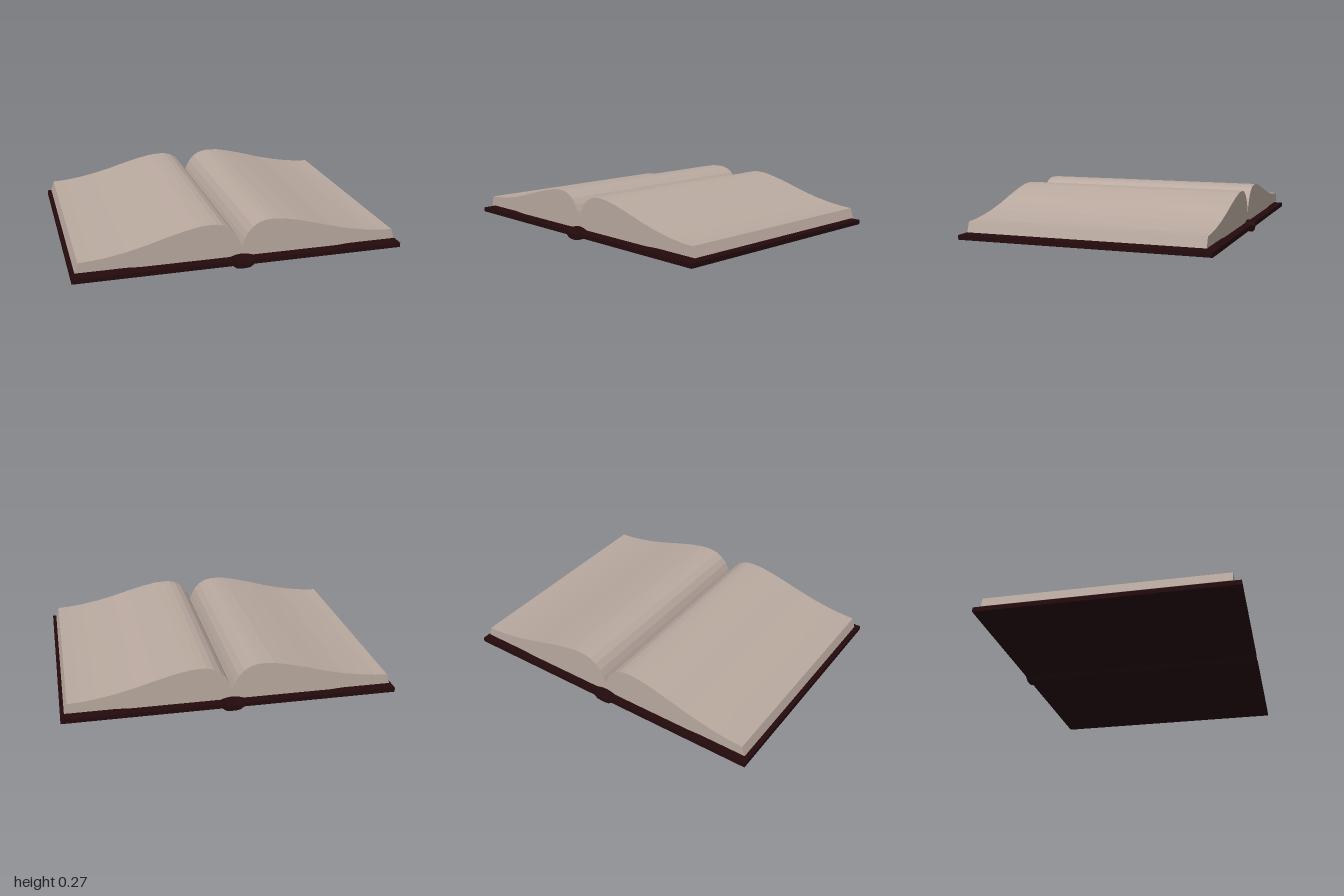
import * as THREE from 'three';

const paper = new THREE.MeshStandardMaterial({ color: 0xb9a99f });
paper.name = 'paper';
const leather = new THREE.MeshStandardMaterial({ color: 0x240b0d });
leather.name = 'dark leather';

// Extrudes an x/y outline along z between two depths.
function extrudeOutline(points, zBack, zFront, material, name) {
  const shape = new THREE.Shape(points.map(([x, y]) => new THREE.Vector2(x, y)));
  const geometry = new THREE.ExtrudeGeometry(shape, { depth: zFront - zBack, bevelEnabled: false });
  geometry.translate(0, 0, zBack);
  const mesh = new THREE.Mesh(geometry, material);
  mesh.name = name;
  return mesh;
}

const mirrorX = (points) => points.map(([x, y]) => [-x, y]);

export function createModel() {
  const book = new THREE.Group();
  book.name = 'openBook';

  // Cover: two flat boards joined by a sunken spine
  const coverTop = [[0.035, 0.032], [0.06, 0.05], [1, 0.05]];
  const coverBottom = [[1, 0.022], [0.066, 0.022], [0.042, 0.004], [0.015, 0]];
  const coverHalf = [...coverTop, ...coverBottom];
  book.add(extrudeOutline(
    [...coverHalf, ...mirrorX(coverHalf).reverse()],
    -0.763, 0.763, leather, 'cover'));

  // Page blocks: steep swell out of the gutter, easing down to a slanted fore edge
  const pageHalf = [
    [0, 0.075], [0.035, 0.071], [0.07, 0.06], [0.6, 0.06], [0.68, 0.065], [0.977, 0.065],
    [0.957, 0.126], [0.88, 0.13], [0.79, 0.141], [0.68, 0.161], [0.57, 0.188],
    [0.45, 0.223], [0.34, 0.252], [0.25, 0.27], [0.19, 0.274], [0.15, 0.272],
    [0.11, 0.262], [0.07, 0.238], [0.038, 0.202], [0.017, 0.163], [0, 0.12],
  ];
  book.add(extrudeOutline(pageHalf, -0.725, 0.715, paper, 'leftPages'));
  book.add(extrudeOutline(mirrorX(pageHalf), -0.725, 0.715, paper, 'rightPages'));

  return book;
}
